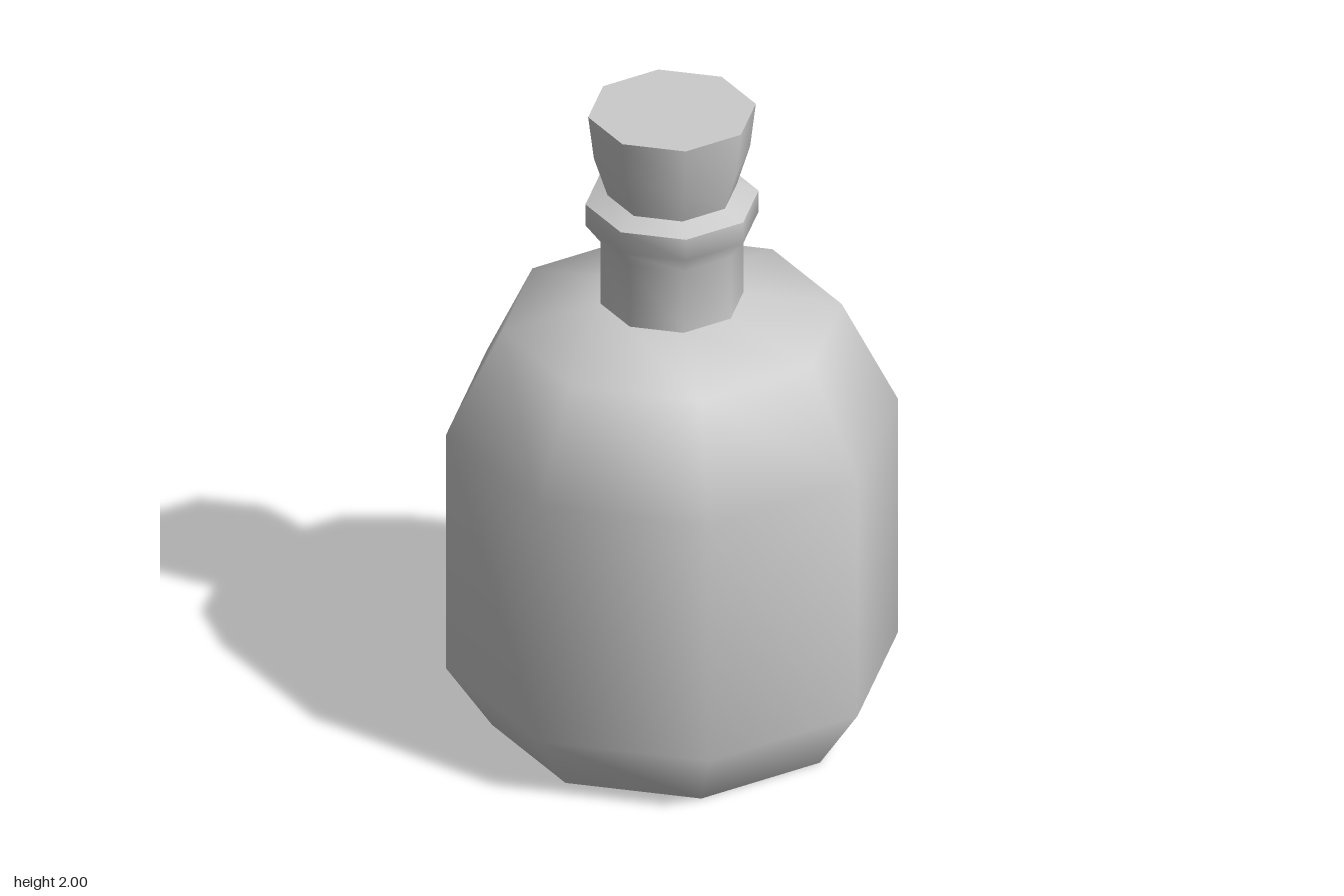
import * as THREE from 'three';

const SIDES = 8;
const material = new THREE.MeshStandardMaterial({ color: 0xcccccc });

// Eight-sided turned part; the profile runs from bottom to top as [radius, y]
function turned(name, profile) {
  const points = profile.map(([r, y]) => new THREE.Vector2(r, y));
  const mesh = new THREE.Mesh(new THREE.LatheGeometry(points, SIDES), material);
  mesh.name = name;
  return mesh;
}

export function createModel() {
  const bottle = new THREE.Group();
  bottle.name = 'bottle';

  // Separate parts keep the edges between them sharp
  bottle.add(
    turned('base', [[0, 0], [0.53, 0]]),
    turned('body', [[0.53, 0], [0.665, 0.2], [0.665, 0.98], [0.5, 1.31], [0.21, 1.375]]),
    turned('neck', [[0.21, 1.375], [0.21, 1.58], [0.255, 1.64], [0.255, 1.71]]),
    turned('lip', [[0.255, 1.71], [0.19, 1.735]]),
    turned('stopper', [[0.19, 1.735], [0.23, 1.86], [0.247, 2]]),
    turned('stopperTop', [[0.247, 2], [0, 2]])
  );
  return bottle;
}
